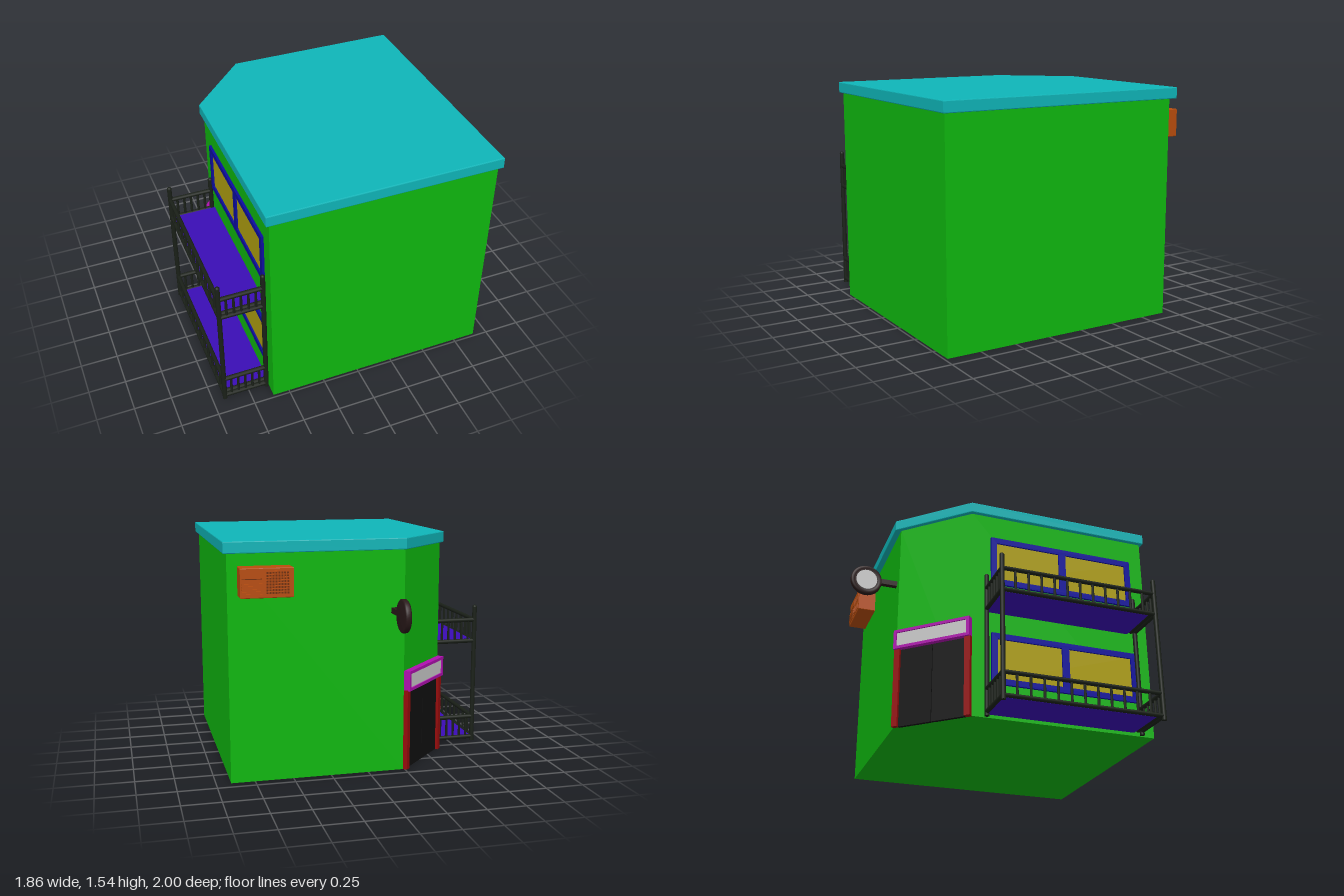
import * as THREE from 'three';

const mat = (color, side = THREE.FrontSide) => new THREE.MeshStandardMaterial({ color, side });
const M = {
  wall: mat(0x0fb80f), roof: mat(0x0fb5b8), floor: mat(0x3a0db5), frame: mat(0x0d0da0),
  glass: mat(0xb0a010), iron: mat(0x1a2018), unit: mat(0xb84d0d), vent: mat(0x6e2e08),
  jamb: mat(0x980c0c), door: mat(0x101010), sign: mat(0xb010b0), disc: mat(0x2a1a1a), grey: mat(0xcccccc),
};

function add(parent, name, geo, material) {
  const mesh = new THREE.Mesh(geo, material);
  mesh.name = name;
  parent.add(mesh);
  return mesh;
}

// Box given by its min and max on each axis
function box(parent, name, material, x0, x1, y0, y1, z0, z1) {
  const m = add(parent, name, new THREE.BoxGeometry(x1 - x0, y1 - y0, z1 - z0), material);
  m.position.set((x0 + x1) / 2, (y0 + y1) / 2, (z0 + z1) / 2);
  return m;
}

// Round bar between two points
function bar(parent, name, a, b, r, sides = 10) {
  const p = new THREE.Vector3(...a), q = new THREE.Vector3(...b);
  const d = q.clone().sub(p);
  const m = add(parent, name, new THREE.CylinderGeometry(r, r, d.length(), sides), M.iron);
  m.position.copy(p).add(q).multiplyScalar(0.5);
  m.quaternion.setFromUnitVectors(new THREE.Vector3(0, 1, 0), d.normalize());
  return m;
}

// Plan outline (x, z pairs) raised from y0 to y1
function slab(parent, name, material, plan, y0, y1, bevel = 0) {
  const shape = new THREE.Shape(plan.map(([x, z]) => new THREE.Vector2(x, -z)));
  const geo = new THREE.ExtrudeGeometry(shape, {
    depth: y1 - y0 - 2 * bevel, bevelEnabled: bevel > 0,
    bevelThickness: bevel, bevelSize: bevel, bevelOffset: -bevel, bevelSegments: 2,
  });
  geo.rotateX(-Math.PI / 2).translate(0, y0 + bevel, 0);
  return add(parent, name, geo, material);
}

// Flat rectangular frame in local xy, facing +z
function frame(parent, name, material, w, h, t, depth) {
  const rect = (P, a, b) => new P([[-a, -b], [a, -b], [a, b], [-a, b]].map(p => new THREE.Vector2(...p)));
  const s = rect(THREE.Shape, w / 2, h / 2);
  s.holes.push(rect(THREE.Path, w / 2 - t, h / 2 - t));
  return add(parent, name, new THREE.ExtrudeGeometry(s, { depth, bevelEnabled: false }), material);
}

function entrance(parent) {
  const g = new THREE.Group();
  g.name = 'entrance';
  g.position.set(-0.424, 0, -0.48);
  g.rotation.y = Math.atan2(-0.732, -0.681);
  parent.add(g);
  for (const s of [-1, 1]) {
    const jx = s * 0.253, dx = s * 0.117;
    box(g, 'doorJamb', M.jamb, jx - 0.02, jx + 0.02, 0, 0.54, -0.01, 0.03);
    box(g, 'doorLeaf', M.door, dx - 0.115, dx + 0.115, 0, 0.54, -0.01, 0.012);
  }
  const f = frame(g, 'signFrame', M.sign, 0.546, 0.135, 0.02, 0.055);
  f.position.set(0, 0.602, -0.01);
  box(g, 'signPanel', M.grey, -0.255, 0.255, 0.55, 0.655, -0.01, 0.036);
}

function windowPair(parent, y0, y1) {
  const g = new THREE.Group();
  g.name = 'window';
  g.position.set(-0.608, (y0 + y1) / 2, 0.365);
  g.rotation.y = -Math.PI / 2;
  parent.add(g);
  const h = y1 - y0;
  frame(g, 'windowFrame', M.frame, 1.03, h, 0.04, 0.018);
  box(g, 'mullion', M.frame, -0.025, 0.025, -h / 2 + 0.03, h / 2 - 0.03, 0, 0.018);
  box(g, 'windowPane', M.glass, -0.48, 0.48, -h / 2 + 0.03, h / 2 - 0.03, -0.004, 0.007);
}

function balcony(parent) {
  const g = new THREE.Group();
  g.name = 'balcony';
  parent.add(g);
  const xo = -0.918, xi = -0.627, zb = -0.185, zf = 0.885;
  // Corner posts with rounded tops
  for (const x of [xo, xi]) for (const z of [zb, zf]) {
    bar(g, 'post', [x, 0.005, z], [x, 0.99, z], 0.016, 12);
    add(g, 'postCap', new THREE.SphereGeometry(0.016, 12, 8), M.iron).position.set(x, 0.988, z);
  }
  // Floor, rails and balusters of each storey
  for (const [lo, hi] of [[0.034, 0.185], [0.745, 0.896]]) {
    box(g, 'balconyFloor', M.floor, -0.91, -0.605, lo - 0.012, lo + 0.008, -0.18, 0.835);
    for (const [y, z] of [[lo, 0.853], [lo, zf], [hi, zf], [lo, zb], [hi, zb]])
      bar(g, 'endRail', [xo, y, z], [xi, y, z], 0.015);
    for (const y of [lo, hi]) bar(g, 'sideRail', [xo, y, zb], [xo, y, zf], 0.014);
    for (let i = 1; i <= 5; i++) {
      const x = xo + (xi - xo) * i / 6;
      for (const z of [zb, zf]) bar(g, 'baluster', [x, lo, z], [x, hi, z], 0.009, 8);
    }
    for (let i = 1; i <= 11; i++) {
      const z = zb + (zf - zb) * i / 12;
      bar(g, 'baluster', [xo, lo, z], [xo, hi, z], 0.009, 8);
    }
  }
}

function airConditioner(parent) {
  const g = new THREE.Group();
  g.name = 'airConditioner';
  parent.add(g);
  slab(g, 'casing', M.unit, [[0.51, -0.67], [0.84, -0.67], [0.84, -0.805], [0.51, -0.805]], 1.2, 1.385, 0.005);
  // Square grille of crossed bars over a dark backing
  box(g, 'grilleBack', M.vent, 0.535, 0.685, 1.22, 1.365, -0.806, -0.8);
  for (let i = 0; i <= 8; i++) {
    const x = 0.537 + i * 0.0182, y = 1.222 + i * 0.0176;
    box(g, 'grilleBar', M.unit, x - 0.003, x + 0.003, 1.22, 1.365, -0.809, -0.8);
    box(g, 'grilleBar', M.unit, 0.535, 0.685, y - 0.003, y + 0.003, -0.809, -0.8);
  }
  // Side vent slats
  for (let i = 0; i < 5; i++) {
    const y = 1.222 + i * 0.016;
    box(g, 'ventSlat', M.unit, 0.705, 0.83, y - 0.004, y + 0.004, -0.812, -0.8);
  }
  box(g, 'controlStrip', M.vent, 0.705, 0.83, 1.315, 1.32, -0.807, -0.8);
}

function hangingSign(parent) {
  const g = new THREE.Group();
  g.name = 'hangingSign';
  g.position.set(-0.165, 1.07, -0.893);
  parent.add(g);
  // Dished disc, open face towards -x
  const profile = [[0, -0.02], [0.098, -0.02], [0.107, -0.012], [0.107, 0.012], [0.1, 0.02], [0.084, 0.02], [0.08, 0.014], [0, 0.014]];
  const geo = new THREE.LatheGeometry(profile.map(p => new THREE.Vector2(...p)), 40);
  add(g, 'signDisc', geo, M.disc).rotation.z = Math.PI / 2;
  const face = add(g, 'signFace', new THREE.CylinderGeometry(0.072, 0.072, 0.006, 40), M.grey);
  face.rotation.z = Math.PI / 2;
  face.position.x = -0.017;
  box(g, 'signArm', M.disc, -0.018, 0.018, -0.014, 0.022, 0.09, 0.22);
}

export function createModel() {
  const model = new THREE.Group();
  model.name = 'cornerShop';
  // Walls and flat roof, both with one cut corner
  slab(model, 'walls', M.wall, [[-0.61, 0.98], [0.905, 0.98], [0.905, -0.68], [-0.238, -0.68], [-0.61, -0.28]], 0, 1.47);
  slab(model, 'roof', M.roof, [[-0.635, 1], [0.93, 1], [0.93, -0.72], [-0.235, -0.72], [-0.635, -0.29]], 1.465, 1.54, 0.006);
  entrance(model);
  windowPair(model, 0.23, 0.585);
  windowPair(model, 0.945, 1.297);
  balcony(model);
  airConditioner(model);
  hangingSign(model);
  return model;
}
